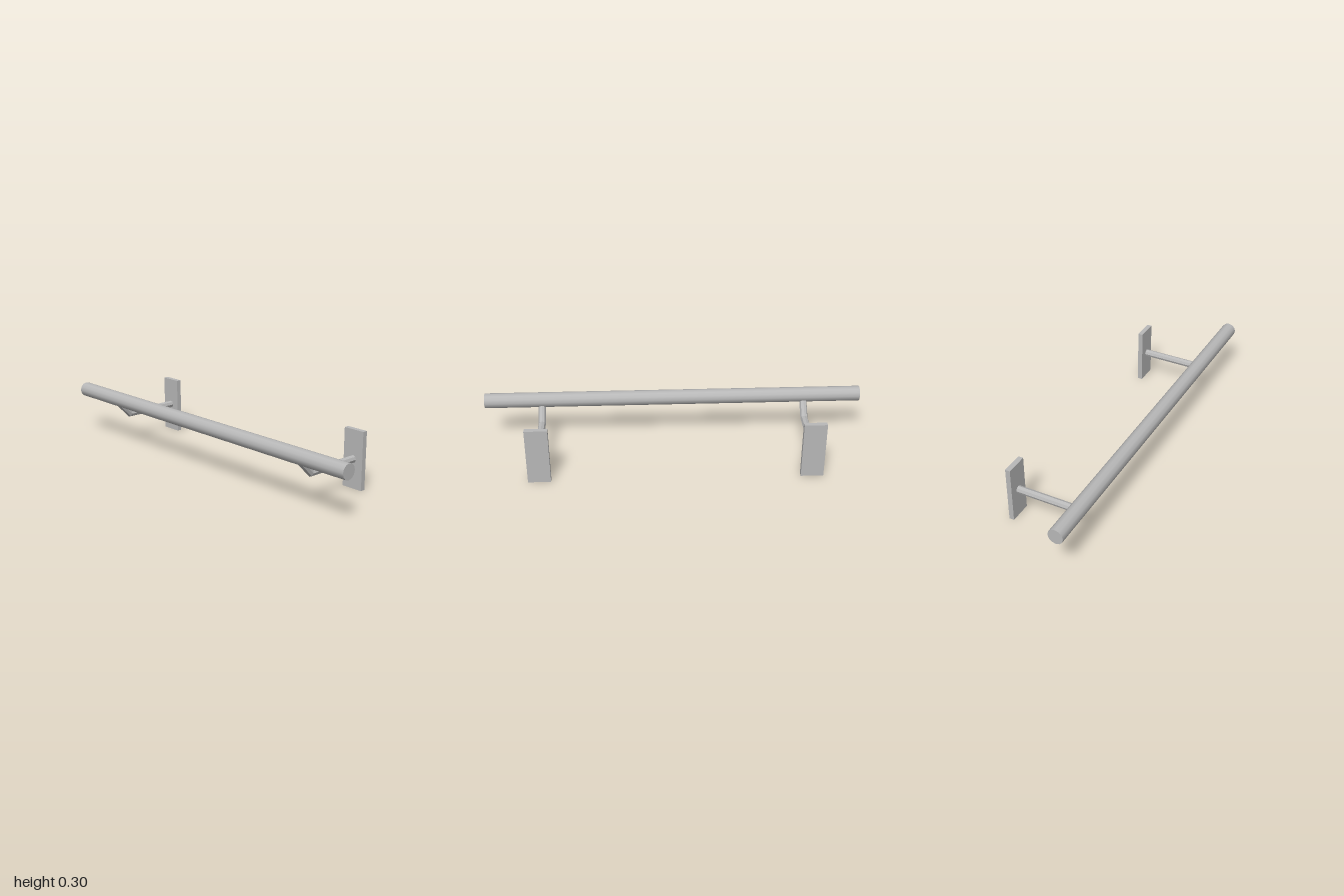
import * as THREE from 'three';

export function createModel() {
  const group = new THREE.Group();
  const steel = new THREE.MeshStandardMaterial({ color: 0xb8b8b8 });
  steel.name = 'steel';

  const add = (geometry, name, x, y, z) => {
    const mesh = new THREE.Mesh(geometry, steel);
    mesh.name = name;
    mesh.position.set(x, y, z);
    group.add(mesh);
    return mesh;
  };

  // Long round rail, running from side to side
  const railGeometry = new THREE.CylinderGeometry(0.0395, 0.0395, 2, 12);
  railGeometry.rotateZ(Math.PI / 2);
  add(railGeometry, 'rail', 0, 0.251, 0.186);

  // Bent eight-sided arm: each ring has a centre and an "up" vector (mitred at the bend)
  const rings = [
    { y: 0.151, z: -0.2, uy: 1, uz: 0 },
    { y: 0.151, z: 0.101, uy: 1, uz: -Math.tan(Math.PI / 8) },
    { y: 0.235, z: 0.185, uy: Math.SQRT1_2, uz: -Math.SQRT1_2 },
  ];
  const bent = new THREE.CylinderGeometry(0.0195, 0.0195, 2, 8, 2);
  const p = bent.attributes.position;
  for (let i = 0; i < p.count; i++) {
    const ring = rings[Math.round(p.getY(i)) + 1];
    const h = -p.getZ(i);
    p.setXYZ(i, p.getX(i), ring.y + ring.uy * h, ring.z + ring.uz * h);
  }
  const armGeometry = bent.toNonIndexed(); // faceted normals
  armGeometry.computeVertexNormals();

  // Flat wall plate behind each arm
  const plateGeometry = new THREE.BoxGeometry(0.117, 0.3, 0.026);

  for (const [side, x] of [['left', 0.698], ['right', -0.698]]) {
    add(armGeometry, side + 'Arm', x, 0, 0);
    add(plateGeometry, side + 'WallPlate', x, 0.15, -0.2125);
  }
  return group;
}
